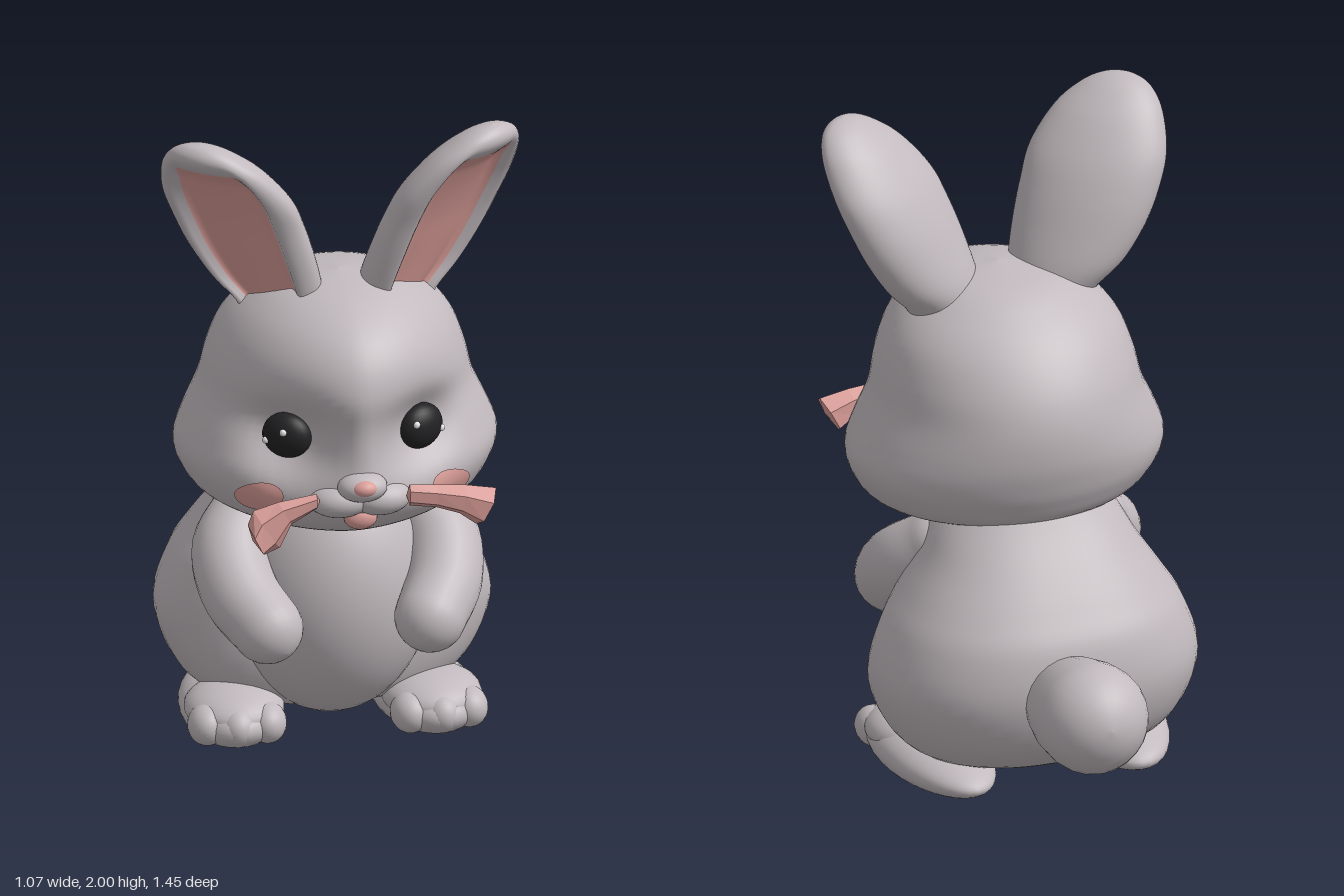
import * as THREE from 'three';

const { smoothstep } = THREE.MathUtils;
const V = (x, y, z) => new THREE.Vector3(x, y, z);

const fur = new THREE.MeshStandardMaterial({ color: 0xc2babe });
fur.name = 'grey fur';
const pink = new THREE.MeshStandardMaterial({ color: 0xdb9e99 });
pink.name = 'soft pink';
const black = new THREE.MeshStandardMaterial({ color: 0x222224 });
black.name = 'eye black';
const white = new THREE.MeshStandardMaterial({ color: 0xf2f2f2 });
white.name = 'highlight white';

// Closed tube of points: u runs round, v runs along. pick() chooses a material slot.
function grid(fn, nu, nv, pick) {
  const pos = [], slots = [[], []];
  for (let j = 0; j <= nv; j++)
    for (let i = 0; i < nu; i++) pos.push(...fn((i / nu) * Math.PI * 2, j / nv).toArray());
  for (let j = 0; j < nv; j++)
    for (let i = 0; i < nu; i++) {
      const a = j * nu + i, b = j * nu + ((i + 1) % nu), c = a + nu, d = b + nu;
      const slot = pick ? pick(((i + 0.5) / nu) * Math.PI * 2, (j + 0.5) / nv) : 0;
      slots[slot].push(a, c, b, b, c, d);
    }
  const g = new THREE.BufferGeometry();
  g.setAttribute('position', new THREE.Float32BufferAttribute(pos, 3));
  g.setIndex([...slots[0], ...slots[1]]);
  if (pick) {
    g.addGroup(0, slots[0].length, 0);
    g.addGroup(slots[0].length, slots[1].length, 1);
  }
  g.computeVertexNormals();
  return g;
}

// Smooth interpolation through the rows of a section table
function sample(rows, v) {
  const f = v * (rows.length - 1), k = Math.min(Math.floor(f), rows.length - 2), t = f - k;
  const row = (i) => rows[Math.max(0, Math.min(rows.length - 1, i))];
  return rows[k].map((p1, c) => {
    const p0 = row(k - 1)[c], p2 = row(k + 1)[c], p3 = row(k + 2)[c];
    return p1 + 0.5 * t * (p2 - p0 + t * (2 * p0 - 5 * p1 + 4 * p2 - p3 + t * (3 * (p1 - p2) + p3 - p0)));
  });
}

function add(parent, name, geo, mat) {
  const m = new THREE.Mesh(geo, mat);
  m.name = name;
  parent.add(m);
  return m;
}

function ball(parent, name, mat, p, r, seg = 24) {
  const m = add(parent, name, new THREE.SphereGeometry(1, seg, Math.round(seg * 0.7)), mat);
  m.position.set(...p);
  m.scale.set(...r);
}

// Round-ended limb along a curve with varying radius
function limb(points, radii) {
  const curve = new THREE.CatmullRomCurve3(points.map((p) => V(...p)));
  const rows = radii.map((r) => [r]);
  return grid((u, v) => {
    const t = Math.max(0, Math.min(1, (v - 0.25) / 0.5));
    const T = curve.getTangent(t), c = curve.getPoint(t);
    let r = sample(rows, t)[0];
    const end = v < 0.25 ? v - 0.25 : v > 0.75 ? v - 0.75 : 0;
    c.addScaledVector(T, r * Math.sin((end / 0.25) * Math.PI / 2));
    r *= Math.cos((end / 0.25) * Math.PI / 2);
    const A = V(1, 0, 0).addScaledVector(T, -T.x).normalize(), B = A.clone().cross(T);
    return c.addScaledVector(A, r * Math.cos(u)).addScaledVector(B, r * Math.sin(u));
  }, 24, 32);
}

// Section rows: height, half width, front z, back z, centre z
const HEAD = [
  [0.738, 0, 0.3, 0.3, 0.3], [0.75, 0.16, 0.42, 0.15, 0.29], [0.78, 0.3, 0.52, 0, 0.25],
  [0.83, 0.41, 0.6, -0.14, 0.22], [0.9, 0.465, 0.655, -0.19, 0.2], [0.97, 0.483, 0.67, -0.215, 0.2],
  [1.05, 0.455, 0.665, -0.23, 0.2], [1.15, 0.41, 0.66, -0.225, 0.2], [1.25, 0.385, 0.66, -0.19, 0.2],
  [1.35, 0.345, 0.62, -0.12, 0.2], [1.43, 0.275, 0.54, -0.03, 0.22], [1.49, 0.17, 0.41, 0.08, 0.24],
  [1.515, 0, 0.25, 0.25, 0.25]];
const BODY = [
  [0.035, 0, 0, 0, 0], [0.045, 0.17, 0.1, -0.14, 0], [0.1, 0.36, 0.2, -0.26, 0], [0.2, 0.455, 0.23, -0.36, 0],
  [0.35, 0.503, 0.23, -0.405, 0], [0.5, 0.46, 0.25, -0.385, 0], [0.6, 0.4, 0.27, -0.325, 0],
  [0.7, 0.335, 0.28, -0.25, 0.02], [0.8, 0.28, 0.26, -0.17, 0.04], [0.9, 0.2, 0.2, -0.1, 0.05]];

// Power below 1 squares a section, above 1 makes it more pointed
const bend = (x, e) => Math.sign(x) * Math.abs(x) ** e;

function ringPoint(rows, u, v, front, back) {
  const [y, w, zf, zb, zc] = sample(rows, v), e = Math.sin(u) > 0 ? front : back;
  const s = bend(Math.sin(u), e);
  return V(w * bend(Math.cos(u), e), y, zc + s * (s > 0 ? zf - zc : zc - zb));
}

// Head surface with shallow eye sockets
function headPoint(u, v) {
  const p = ringPoint(HEAD, u, v, 1.12, 1);
  if (p.z > 0.2) {
    const d2 = (Math.abs(p.x) - 0.2) ** 2 + (p.y - 1.1) ** 2;
    p.z -= 0.11 * Math.exp(-d2 / 0.0144) * smoothstep(p.z, 0.2, 0.4);
  }
  return p;
}

// Ear rows: height, centre x, centre z, half width, half depth
const EAR = [
  [1.36, 0.17, 0.25, 0.11, 0.11], [1.42, 0.18, 0.25, 0.135, 0.115], [1.5, 0.22, 0.25, 0.175, 0.125],
  [1.6, 0.265, 0.262, 0.2, 0.127], [1.7, 0.305, 0.28, 0.21, 0.125], [1.8, 0.345, 0.31, 0.207, 0.12],
  [1.9, 0.393, 0.35, 0.165, 0.105], [1.96, 0.425, 0.372, 0.11, 0.075], [1.99, 0.437, 0.38, 0.055, 0.038],
  [2, 0.44, 0.382, 0, 0]];

function earGeometry() {
  return grid((u, v) => {
    const [y, cx, cz, a, b] = sample(EAR, v), t = Math.cos(u), s = Math.sin(u);
    const dish = smoothstep(0.82 - Math.abs(t), 0, 0.3) * (1 - smoothstep(y, 1.86, 1.96));
    const n = b * (s > 0 ? 0.8 * s - 0.5 * dish : s);
    return V(cx + 0.82 * a * t + 0.57 * n, y, cz - 0.57 * a * t + 0.82 * n);
  }, 56, 54, (u, v) => {
    const y = sample(EAR, v)[0];
    return Math.sin(u) > 0 && Math.abs(Math.cos(u)) < 0.63 && y < 1.91 ? 1 : 0;
  });
}

// Faceted bow halves: x, centre y, half height, half depth, lean of the top edge
const BOWS = {
  1: [[0.13, 0.947, 0, 0, 0], [0.14, 0.947, 0.034, 0.02, 0], [0.22, 0.938, 0.036, 0.03, 0],
    [0.3, 0.922, 0.045, 0.045, 0.01], [0.37, 0.895, 0.056, 0.06, 0.03], [0.385, 0.9, 0, 0, 0]],
  '-1': [[0.13, 0.948, 0, 0, 0], [0.14, 0.948, 0.024, 0.02, 0], [0.235, 0.917, 0.037, 0.03, 0.02],
    [0.29, 0.87, 0.062, 0.045, 0.04], [0.322, 0.838, 0.05, 0.06, 0.025], [0.332, 0.835, 0, 0, 0]],
};

function bowGeometry(rows) {
  const last = rows.length - 1;
  const g = grid((u, v) => {
    const [x, y, hy, hz, lean] = rows[Math.round(v * last)], c = Math.cos(u);
    return V(x + lean * c, y + hy * c, 0.668 - hz * Math.sin(u));
  }, 6, last).toNonIndexed();
  g.computeVertexNormals();
  return g;
}

// Flat-soled foot, lower at the heel
function footGeometry() {
  const g = new THREE.SphereGeometry(1, 32, 24), p = g.attributes.position;
  for (let i = 0; i < p.count; i++) {
    const z = p.getZ(i);
    p.setXYZ(i, p.getX(i) * (0.155 + 0.015 * z),
      Math.max(0.004, 0.052 + 0.01 * z + p.getY(i) * (0.085 + 0.02 * z)), z * 0.305);
  }
  g.computeVertexNormals();
  return g;
}

export function createModel() {
  const model = new THREE.Group();
  model.name = 'rabbit';

  add(model, 'body', grid((u, v) => ringPoint(BODY, u, v, 0.95, 0.86), 48, 40), fur);
  ball(model, 'belly', fur, [0, 0.45, 0.1], [0.31, 0.41, 0.32], 40);
  add(model, 'tail', limb([[0.02, 0.35, -0.33], [0.02, 0.36, -0.46], [0.02, 0.375, -0.565]], [0.13, 0.158, 0.168]), fur);
  add(model, 'head', grid(headPoint, 64, 60), fur);
  ball(model, 'snout', fur, [0, 0.98, 0.655], [0.075, 0.045, 0.06]);
  ball(model, 'nose', pink, [0, 0.988, 0.69], [0.04, 0.026, 0.032]);
  ball(model, 'mouth', pink, [0, 0.868, 0.628], [0.05, 0.036, 0.03]);

  // Highlight spots on each eye
  const spots = { 1: [[-0.045, 0.025], [0.055, -0.012]], '-1': [[0.005, 0.025], [-0.055, -0.012]] };

  for (const s of [1, -1]) {
    const side = new THREE.Group();
    side.name = s > 0 ? 'leftSide' : 'rightSide';
    side.scale.x = s;
    model.add(side);

    add(side, 'ear', earGeometry(), [fur, pink]);
    add(side, 'arm', limb([[0.25, 0.7, 0.11], [0.315, 0.61, 0.2], [0.305, 0.515, 0.32], [0.245, 0.445, 0.43]],
      [0.1, 0.115, 0.115, 0.107]), fur);
    ball(side, 'muzzle', fur, [0.06, 0.927, 0.61], [0.095, 0.055, 0.075]);
    add(side, 'bow', bowGeometry(BOWS[s]), pink);

    // Cheek patch laid on the head surface
    add(side, 'blush', grid((u, r) => {
      const across = -r * Math.cos(u), up = r * Math.sin(u);
      const p = headPoint(0.87 + 0.18 * across, (4.26 + 0.65 * up + 0.3 * across) / 12);
      return p.add(V(0.005, 0, 0.005));
    }, 28, 6), pink);

    const foot = new THREE.Group();
    foot.name = 'foot';
    foot.position.set(0.287, 0, 0.04);
    foot.rotation.y = 0.08;
    side.add(foot);
    add(foot, 'sole', footGeometry(), fur);
    ball(foot, 'instep', fur, [0, 0.085, 0.12], [0.15, 0.075, 0.165]);
    for (const k of [-1, 0, 1])
      ball(foot, 'toe', fur, [k * 0.09, 0.066, 0.235 - 0.025 * k * k], [0.058, 0.062, 0.072]);

    const eye = new THREE.Group();
    eye.name = 'eye';
    eye.position.set(s * 0.2, 1.1, 0.51);
    eye.rotation.y = s * 0.55;
    model.add(eye);
    ball(eye, 'eyeball', black, [0, 0, 0], [0.077, 0.07, 0.05]);
    for (const [x, y] of spots[s]) {
      const z = 0.05 * Math.sqrt(1 - (x / 0.077) ** 2 - (y / 0.07) ** 2);
      ball(eye, 'highlight', white, [x, y, z], [0.011, 0.011, 0.009], 12);
    }
  }
  return model;
}
